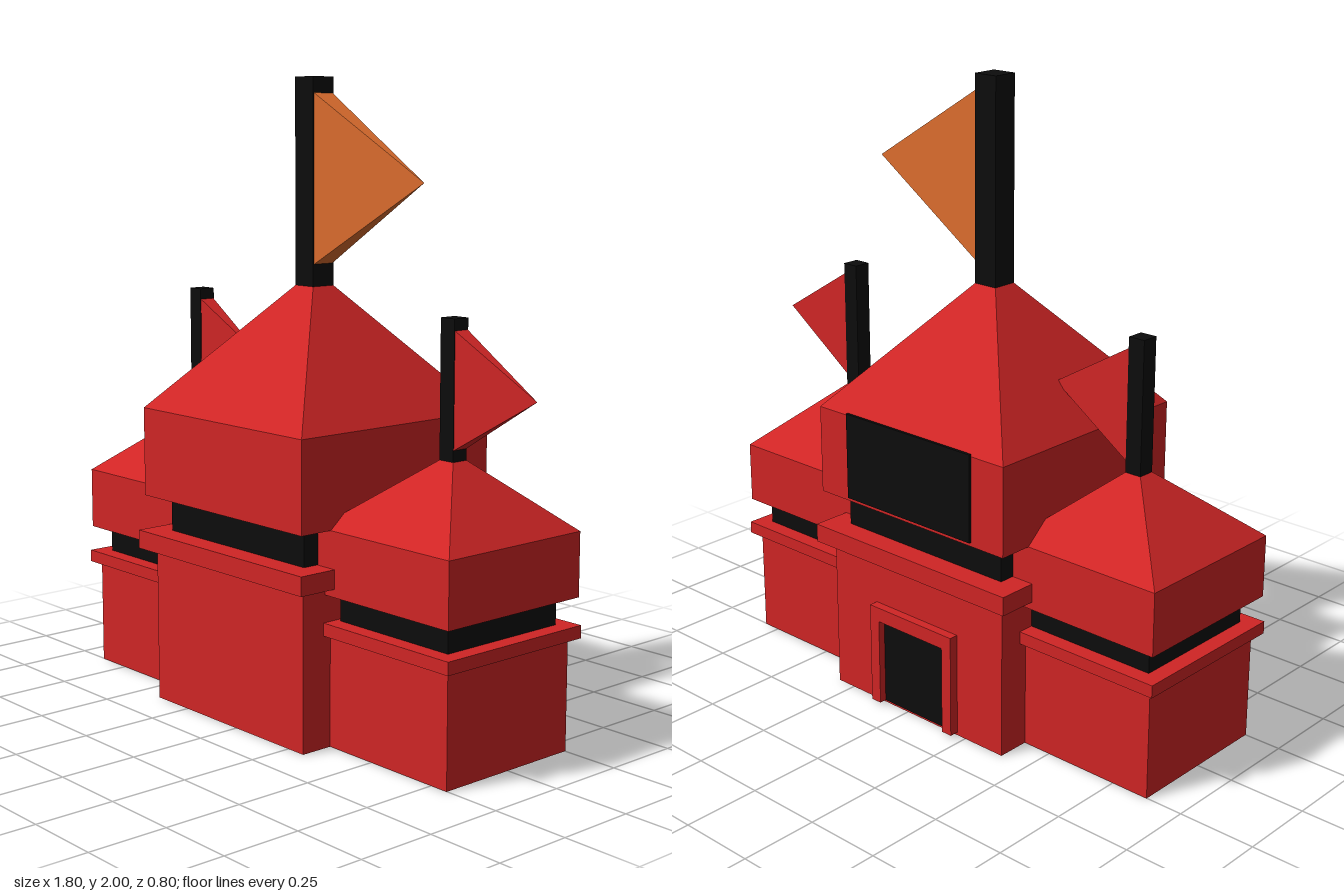
import * as THREE from 'three';

const material = (name, color) => {
  const m = new THREE.MeshStandardMaterial({ color });
  m.name = name;
  return m;
};

export function createModel() {
  const red = material('red', 0xd02525);
  const black = material('black', 0x0c0c0c);
  const orange = material('orange', 0xdc6d2e);
  const model = new THREE.Group();
  model.name = 'castle';

  function add(parent, name, geometry, mat, x, y, z) {
    const mesh = new THREE.Mesh(geometry, mat);
    mesh.name = name;
    mesh.position.set(x, y, z);
    parent.add(mesh);
    return mesh;
  }

  // Square block from y0 to y1, given its half width
  function block(parent, name, half, y0, y1, mat, x = 0) {
    add(parent, name, new THREE.BoxGeometry(2 * half, y1 - y0, 2 * half), mat, x, (y0 + y1) / 2, 0);
  }

  // Hipped roof: a box whose top shrinks to the pole's footprint
  function roof(parent, half, topHalf, y0, y1, shift) {
    const g = new THREE.BoxGeometry(2 * half, y1 - y0, 2 * half);
    const p = g.attributes.position;
    for (let i = 0; i < p.count; i++) {
      if (p.getY(i) > 0) {
        p.setX(i, Math.sign(p.getX(i)) * topHalf + shift);
        p.setZ(i, Math.sign(p.getZ(i)) * topHalf);
      }
    }
    g.computeVertexNormals();
    add(parent, 'roof', g, red, 0, (y0 + y1) / 2, 0);
  }

  // Pennant: four-sided pyramid pointing to +x
  function flag(parent, x, y0, y1, length, half, mat) {
    let g = new THREE.ConeGeometry(Math.SQRT1_2, 1, 4);
    g.rotateY(Math.PI / 4);
    g.rotateZ(-Math.PI / 2);
    g.scale(length, y1 - y0, 2 * half);
    g = g.toNonIndexed();
    g.computeVertexNormals();
    add(parent, 'flag', g, mat, x + length / 2, (y0 + y1) / 2, 0);
  }

  // Tower: h = [base, ledge, band, upper, roof, pole] tops, r = matching half widths
  function tower(name, x, h, r, shift, flagSpec) {
    const t = new THREE.Group();
    t.name = name;
    t.position.x = x;
    model.add(t);
    block(t, 'base', r[0], 0, h[0], red);
    block(t, 'ledge', r[1], h[0], h[1], red);
    block(t, 'windowBand', r[2], h[1], h[2], black);
    block(t, 'upperStorey', r[3], h[2], h[3], red);
    roof(t, r[3], r[4], h[3], h[4], shift);
    block(t, 'pole', r[4], h[4] - 0.01, h[5], black, shift);
    flag(t, shift + r[4], ...flagSpec);
    return t;
  }

  const main = tower('mainTower', -0.042,
    [0.5, 0.56, 0.675, 0.96, 1.355, 2], [0.36, 0.402, 0.325, 0.386, 0.042], 0,
    [1.425, 1.95, 0.445, 0.038, orange]);

  const sideHeights = [0.35, 0.39, 0.475, 0.675, 0.885, 1.305];
  const sideHalves = [0.252, 0.279, 0.226, 0.273, 0.028];
  const sideFlag = [0.92, 1.27, 0.297, 0.026, red];
  tower('rightTower', -0.625, sideHeights, sideHalves, 0.005, sideFlag);
  tower('leftTower', 0.56, sideHeights, sideHalves, 0.015, sideFlag);

  // Dark panel on the back of the upper storey
  add(main, 'backPanel', new THREE.BoxGeometry(0.52, 0.28, 0.009), black, 0, 0.828, -0.39);

  // Raised doorway on the back wall
  const s = new THREE.Shape();
  [[-0.175, 0.01], [-0.137, 0.01], [-0.137, 0.298], [0.137, 0.298], [0.137, 0.01],
    [0.175, 0.01], [0.175, 0.345], [-0.175, 0.345]]
    .forEach(([x, y], i) => (i ? s.lineTo(x, y) : s.moveTo(x, y)));
  const frame = new THREE.ExtrudeGeometry(s, { depth: 0.032, bevelEnabled: false });
  add(main, 'doorFrame', frame, red, 0, 0, -0.39);
  add(main, 'door', new THREE.BoxGeometry(0.274, 0.288, 0.008), black, 0, 0.154, -0.362);

  return model;
}
